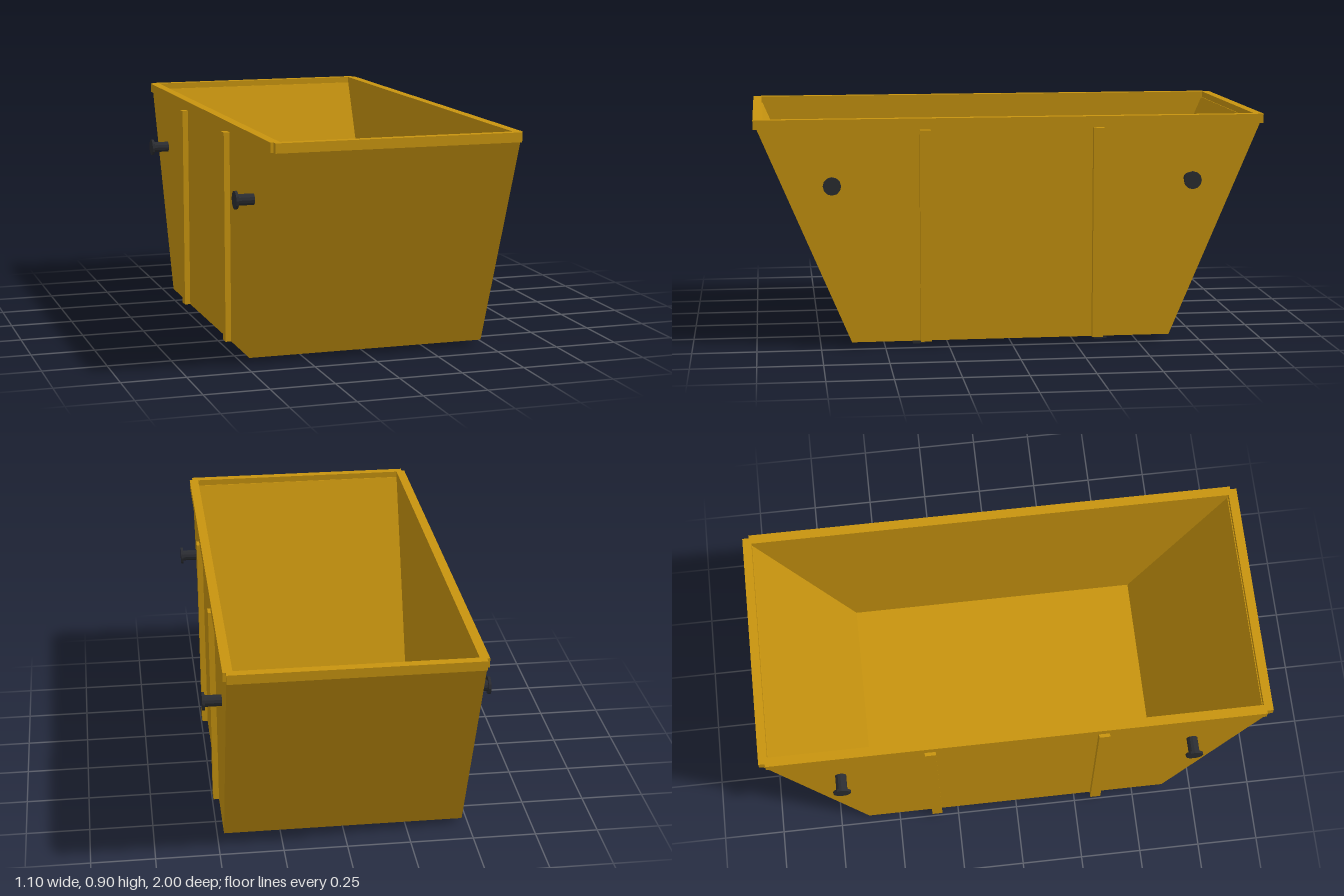
import * as THREE from 'three';

export function createModel() {
  const model = new THREE.Group();
  model.name = 'skipContainer';

  const yellow = new THREE.MeshStandardMaterial({ color: 0xc8940f });
  yellow.name = 'yellow paint';
  const dark = new THREE.MeshStandardMaterial({ color: 0x2b2d32, flatShading: true });
  dark.name = 'dark steel';

  const add = (name, geometry, material, x = 0, y = 0, z = 0) => {
    const mesh = new THREE.Mesh(geometry, material);
    mesh.name = name;
    mesh.position.set(x, y, z);
    model.add(mesh);
    return mesh;
  };
  const box = (name, w, h, d, material, x, y, z) =>
    add(name, new THREE.BoxGeometry(w, h, d), material, x, y, z);

  // Extrudes a (z, y) profile across the width, centred on x = 0
  const extrudeAcross = (points, width) => {
    const shape = new THREE.Shape(points.map(([z, y]) => new THREE.Vector2(z, y)));
    return new THREE.ExtrudeGeometry(shape, { depth: width, bevelEnabled: false })
      .translate(0, 0, -width / 2)
      .rotateY(-Math.PI / 2);
  };

  // Floor and sloping end walls as one folded plate
  add('floorAndEndWalls', extrudeAcross([
    [-0.63, 0.022], [0.63, 0.022], [0.99, 0.875], [0.962, 0.875],
    [0.605, 0.045], [-0.605, 0.045], [-0.962, 0.875], [-0.99, 0.875],
  ], 0.9), yellow);

  for (const side of [1, -1]) {
    // Trapezoid side wall
    add('sideWall', extrudeAcross([
      [-0.63, 0.022], [0.63, 0.022], [0.99, 0.875], [-0.99, 0.875],
    ], 0.025), yellow, side * 0.4625);

    // Top rim bars
    box('sideRim', 0.037, 0.037, 1.95, yellow, side * 0.4685, 0.8815, 0);
    box('endRim', 0.95, 0.037, 0.035, yellow, 0, 0.8815, side * 0.9825);

    // Skid under the floor
    box('skid', 0.854, 0.025, 0.05, dark, 0, 0.0125, side * 0.363);

    for (const end of [1, -1]) {
      // Vertical stiffening rib
      box('sideRib', 0.025, 0.833, 0.043, yellow, side * 0.4855, 0.4385, end * 0.34);

      // Lifting pin with end cap
      const shaft = new THREE.CylinderGeometry(0.022, 0.022, 0.075, 12).rotateZ(Math.PI / 2);
      add('liftingPin', shaft, dark, side * 0.5075, 0.65, end * 0.703);
      const cap = new THREE.CylinderGeometry(0.035, 0.035, 0.01, 12).rotateZ(Math.PI / 2);
      add('liftingPinCap', cap, dark, side * 0.545, 0.65, end * 0.703);
    }
  }

  return model;
}
